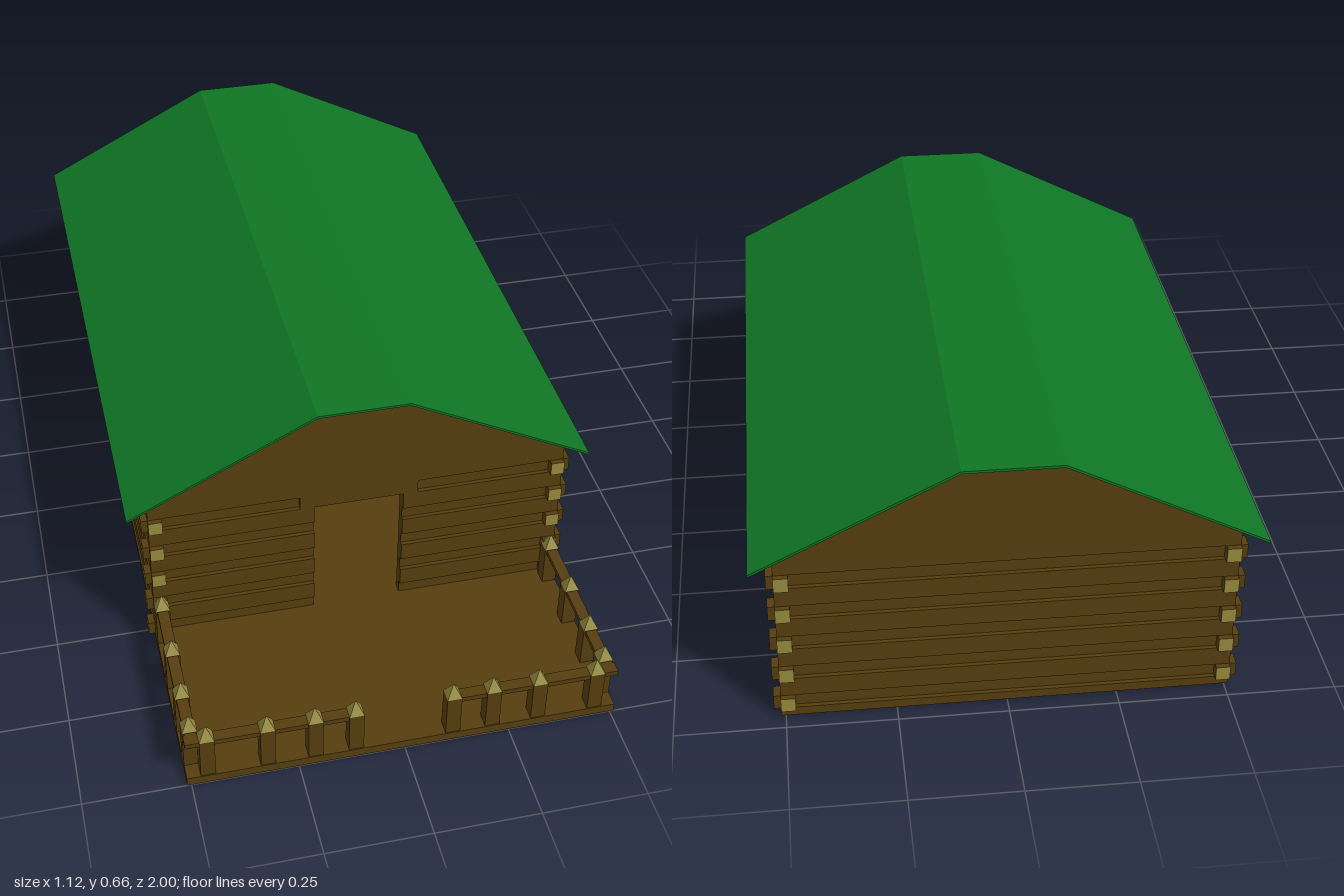
import * as THREE from 'three';

export function createModel() {
  const model = new THREE.Group();
  model.name = 'logCabin';
  const mat = (name, color) => {
    const m = new THREE.MeshStandardMaterial({ color });
    m.name = name;
    return m;
  };
  const wood = mat('brownWood', 0x563d0e);
  const cut = mat('cutWood', 0x958a3d);
  const green = mat('greenRoof', 0x0f7524);

  const add = (parent, name, geometry, material) => {
    const mesh = new THREE.Mesh(geometry, material);
    mesh.name = name;
    parent.add(mesh);
    return mesh;
  };
  const group = (name) => {
    const g = new THREE.Group();
    g.name = name;
    model.add(g);
    return g;
  };
  // box given by its limits on each axis
  const box = (parent, name, [x0, x1], [y0, y1], [z0, z1], material = wood) => {
    const mesh = add(parent, name, new THREE.BoxGeometry(Math.abs(x1 - x0), y1 - y0, Math.abs(z1 - z0)), material);
    mesh.position.set((x0 + x1) / 2, (y0 + y1) / 2, (z0 + z1) / 2);
    return mesh;
  };

  const W = 0.51, T = 0.033, FRONT = 0.535, BACK = -0.96;
  const DOOR = 0.11, FLOOR = 0.022, PITCH = 0.084, SLIM = 0.036, TOP = 0.43;

  // floor shared by cabin and porch
  box(model, 'floor', [-W, W], [0, FLOOR], [BACK, 1]);

  // walls: broad logs alternating with slightly recessed slim ones
  const walls = group('logWalls');
  const course = (y, inset, open) => {
    const w = W - inset, f = FRONT - inset, b = BACK + inset;
    for (const s of [-1, 1]) {
      box(walls, 'sideLog', [s * (W - T), s * w], y, [b, f]);
      if (open) box(walls, 'frontLog', [s * DOOR, s * w], y, [FRONT - T, f]);
    }
    if (!open) box(walls, 'frontLog', [-w, w], y, [FRONT - T, f]);
    box(walls, 'backLog', [-w, w], y, [b, BACK + T]);
  };
  // log ends crossing at the corners, pale on the sawn face
  const ends = group('logEnds');
  const faced = (i) => Array.from({ length: 6 }, (_, k) => (k === i ? cut : wood));
  for (let i = 0; i < 5; i++) {
    const y = FLOOR + i * PITCH, mid = y + SLIM, next = i === 4 ? TOP : y + PITCH;
    course([y, mid], 0.01, i < 4);
    course([mid, next], 0, i < 4);
    for (const s of [-1, 1]) {
      for (const [wall, dir] of [[FRONT, 1], [BACK, -1]]) {
        const z = [wall - dir * T, wall];
        box(ends, 'sideLogEnd', [s * (W - T), s * W], [y, mid], [z[0], wall + dir * 0.013], faced(dir > 0 ? 4 : 5));
        box(ends, 'crossLogEnd', [s * (W - T), s * (W + 0.016)], [y, mid], z, faced(s > 0 ? 0 : 1));
      }
    }
  }
  box(walls, 'doorHeader', [-0.145, 0.145], [0.358, TOP - 0.005], [FRONT - T, FRONT]);

  // gables
  const shapeOf = (pts) => new THREE.Shape(pts.map(([x, y]) => new THREE.Vector2(x, y)));
  const extrude = (pts, depth) => new THREE.ExtrudeGeometry(shapeOf(pts), { depth, bevelEnabled: false });
  const gable = [[-0.55, 0.427], [0.55, 0.427], [0.109, 0.654], [-0.109, 0.654]];
  add(model, 'frontGable', extrude(gable, T), wood).position.z = FRONT - T;
  add(model, 'backGable', extrude(gable, T), wood).position.z = BACK;

  // thin roof with a flat ridge
  const outer = [[0.562, 0.43], [0.11, 0.661], [-0.11, 0.661], [-0.562, 0.43]];
  const inner = [[-0.56, 0.425], [-0.109, 0.655], [0.109, 0.655], [0.56, 0.425]];
  add(model, 'roof', extrude([...outer, ...inner], 1.567), green).position.z = -1;

  // porch fence with pointed posts
  const fence = group('porchFence');
  const P = 0.0175, POST = 0.13;
  const post = (x, z) => {
    box(fence, 'fencePost', [x - P, x + P], [FLOOR, POST], [z - P, z + P]);
    const tip = new THREE.ConeGeometry(P * Math.SQRT2, 0.035, 4).toNonIndexed();
    tip.rotateY(Math.PI / 4);
    tip.computeVertexNormals();
    add(fence, 'postTip', tip, cut).position.set(x, POST + 0.0175, z);
  };
  for (const s of [-1, 1]) {
    for (const x of [0.115, 0.21, 0.321, 0.46]) post(s * x, 0.98);
    for (const z of [0.555, 0.705, 0.84, 0.943]) post(s * 0.4925, z);
    box(fence, 'frontRail', [s * 0.1, s * W], [0.116, 0.129], [0.966, 0.994]);
    box(fence, 'sideRail', [s * 0.479, s * 0.506], [0.117, 0.129], [FRONT, 0.99]);
  }
  return model;
}
